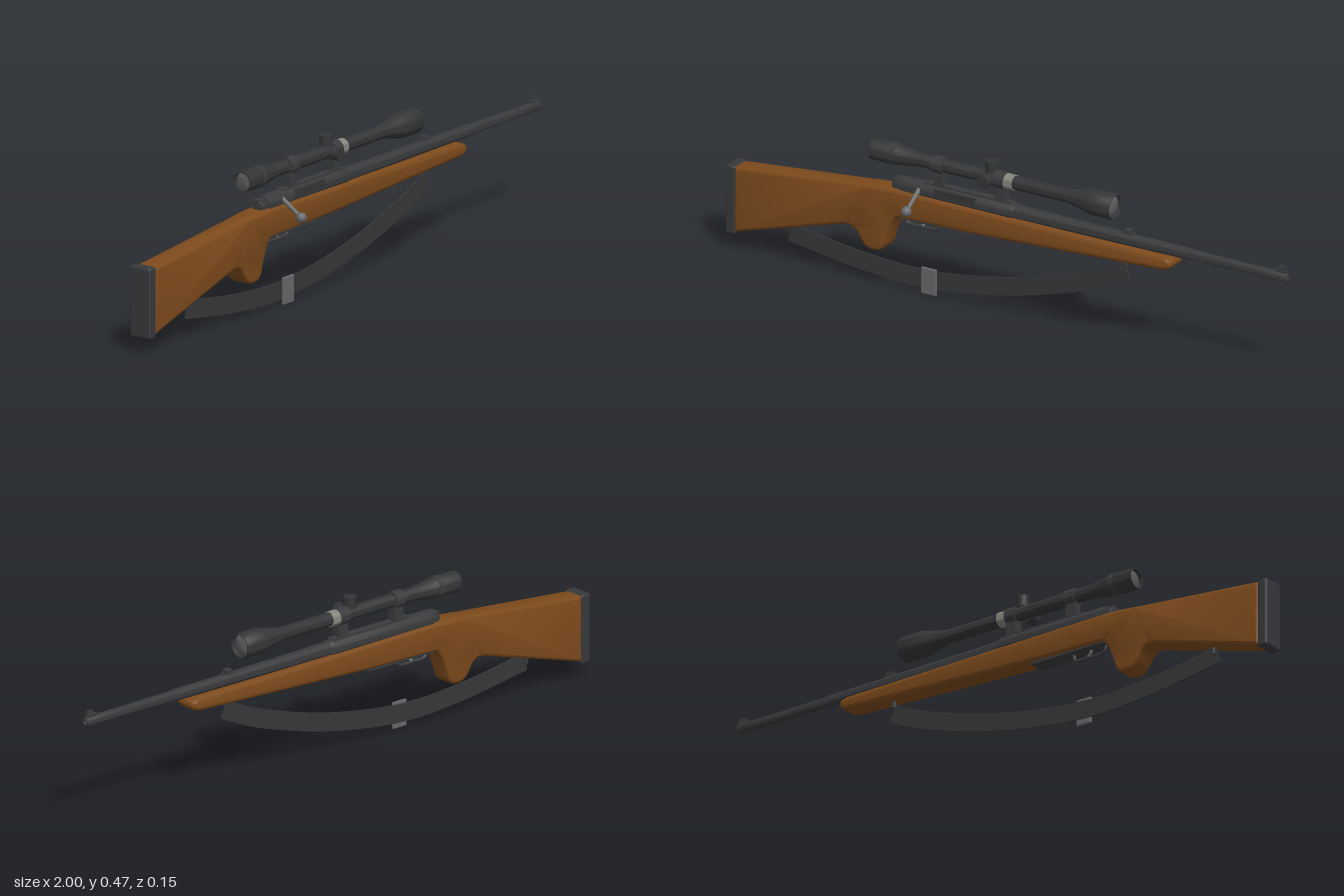
import * as THREE from 'three';
import { toCreasedNormals } from 'three/addons/utils/BufferGeometryUtils.js';
import { RoundedBoxGeometry } from 'three/addons/geometries/RoundedBoxGeometry.js';

const Z = -0.034; // centre plane of the rifle
const BORE = 0.331; // height of the barrel axis
const SIGHT = 0.424; // height of the scope axis

const paint = (name, color) => {
  const m = new THREE.MeshStandardMaterial({ color });
  m.name = name;
  return m;
};

export function createModel() {
  const wood = paint('walnut', 0x7d4a1c);
  const steel = paint('blued steel', 0x3a3b3d);
  const black = paint('scope black', 0x343536);
  const web = paint('sling webbing', 0x363738);
  const bright = paint('bright steel', 0x66676a);
  const pale = paint('pale ring', 0x85867e);
  const glass = paint('lens', 0x5c5d60);
  const rubber = paint('rubber', 0x37383b);

  const root = new THREE.Group();
  root.name = 'rifle';
  const add = (name, geo, mat, x = 0, y = 0, z = Z) => {
    const mesh = new THREE.Mesh(geo, mat);
    mesh.name = name;
    mesh.position.set(x, y, z);
    root.add(mesh);
    return mesh;
  };
  const box = (name, mat, x0, x1, y0, y1, w, z = Z) =>
    add(name, new THREE.BoxGeometry(x1 - x0, y1 - y0, w), mat, (x0 + x1) / 2, (y0 + y1) / 2, z);
  // Turned part along x from [x, radius] pairs
  const turned = (name, mat, y, pairs) => {
    const pts = pairs.map(([x, r]) => new THREE.Vector2(r, x));
    const geo = toCreasedNormals(new THREE.LatheGeometry(pts, 32), 0.6);
    geo.rotateZ(-Math.PI / 2); // y axis becomes +x
    return add(name, geo, mat, 0, y);
  };
  // Bevelled plate of a side profile, centred on its own z
  const plate = (name, mat, shape, depth, bevel, z = Z) => {
    const geo = new THREE.ExtrudeGeometry(shape, {
      depth: depth - 2 * bevel, bevelEnabled: bevel > 0, bevelThickness: bevel,
      bevelSize: bevel, bevelOffset: -bevel, bevelSegments: 4, curveSegments: 10,
    });
    geo.translate(0, 0, bevel - depth / 2);
    return add(name, toCreasedNormals(geo, 0.6), mat, 0, 0, z);
  };

  // Stock with pistol grip and fore-end
  const s = new THREE.Shape();
  s.moveTo(-0.968, 0.27);
  s.lineTo(-0.968, 0.06);
  s.lineTo(-0.575, 0.172);
  s.quadraticCurveTo(-0.54, 0.178, -0.525, 0.15);
  s.quadraticCurveTo(-0.505, 0.11, -0.475, 0.11);
  s.quadraticCurveTo(-0.44, 0.108, -0.43, 0.14);
  s.quadraticCurveTo(-0.41, 0.215, -0.385, 0.235);
  s.lineTo(-0.1, 0.24);
  s.lineTo(0.56, 0.271);
  s.quadraticCurveTo(0.595, 0.276, 0.595, 0.293);
  s.quadraticCurveTo(0.594, 0.31, 0.565, 0.312);
  s.lineTo(-0.38, 0.322);
  s.quadraticCurveTo(-0.45, 0.322, -0.52, 0.312);
  s.closePath();
  plate('stock', wood, s, 0.074, 0.012);
  add('buttPad', new RoundedBoxGeometry(0.035, 0.222, 0.076, 3, 0.008), rubber, -0.982, 0.163);

  // Barrel with stepped profile and open muzzle
  turned('barrel', steel, BORE, [
    [0, 0], [0, 0.024], [0.1, 0.022], [0.42, 0.0195], [0.65, 0.018], [0.65, 0.0165],
    [0.885, 0.0145], [0.885, 0.0155], [0.99, 0.015], [0.996, 0.012], [0.996, 0.007],
    [0.96, 0.007], [0.96, 0],
  ]);
  // Receiver, bolt shroud and ejection port
  turned('receiver', steel, BORE, [
    [-0.385, 0], [-0.385, 0.026], [-0.375, 0.028], [0.01, 0.028], [0.025, 0.024], [0.025, 0],
  ]);
  turned('boltShroud', steel, BORE, [
    [-0.412, 0], [-0.412, 0.018], [-0.405, 0.022], [-0.38, 0.022], [-0.38, 0],
  ]);
  box('receiverTang', steel, -0.41, -0.36, 0.315, 0.351, 0.036);
  box('ejectionPort', black, -0.255, -0.11, 0.327, 0.352, 0.01, -0.011);
  box('sightRail', steel, -0.3, 0.01, 0.352, 0.361, 0.026);

  // Bolt handle and knob
  const a = new THREE.Vector3(-0.313, 0.342, -0.02), b = new THREE.Vector3(-0.313, 0.289, 0.058);
  const arm = add('boltHandle', new THREE.CylinderGeometry(0.006, 0.008, a.distanceTo(b), 14), bright);
  arm.position.copy(a).lerp(b, 0.5);
  arm.quaternion.setFromUnitVectors(new THREE.Vector3(0, 1, 0), b.clone().sub(a).normalize());
  add('boltKnob', new THREE.SphereGeometry(0.0165, 20, 14), bright, b.x, b.y, b.z);

  // Iron sights
  box('rearSightBase', steel, 0.405, 0.445, 0.344, 0.353, 0.016);
  box('rearSightLeaf', steel, 0.415, 0.437, 0.35, 0.363, 0.022);
  box('frontSightRamp', steel, 0.955, 0.992, 0.34, 0.353, 0.014);
  box('frontSightBlade', steel, 0.967, 0.99, 0.35, 0.364, 0.008);

  // Trigger, guard and magazine floor plate
  box('floorPlate', steel, -0.385, -0.115, 0.231, 0.243, 0.054);
  const guard = new THREE.CatmullRomCurve3([
    [-0.375, 0.24], [-0.372, 0.218], [-0.355, 0.209], [-0.275, 0.209], [-0.258, 0.216], [-0.256, 0.24],
  ].map(([x, y]) => new THREE.Vector3(x, y, 0)), false, 'catmullrom', 0.3);
  add('triggerGuard', new THREE.TubeGeometry(guard, 30, 0.0055, 8), steel);
  const trig = new THREE.QuadraticBezierCurve3(
    new THREE.Vector3(-0.32, 0.245, 0), new THREE.Vector3(-0.325, 0.225, 0), new THREE.Vector3(-0.308, 0.213, 0));
  add('trigger', new THREE.TubeGeometry(trig, 10, 0.005, 8), bright);

  // Telescopic sight
  turned('scopeBody', black, SIGHT, [
    [-0.475, 0], [-0.475, 0.028], [-0.489, 0.029], [-0.489, 0.033], [-0.4, 0.033], [-0.395, 0.031],
    [-0.32, 0.021], [0.215, 0.021], [0.285, 0.037], [0.295, 0.04], [0.372, 0.04], [0.377, 0.038],
    [0.377, 0.035], [0.362, 0.034], [0.362, 0],
  ]);
  turned('objectiveLens', glass, SIGHT, [[0.363, 0.035], [0.369, 0.026], [0.373, 0.013], [0.375, 0]]);
  turned('eyepieceLens', glass, SIGHT, [[-0.482, 0], [-0.48, 0.015], [-0.476, 0.028]]);
  turned('eyepieceRing', steel, SIGHT, [[-0.42, 0.033], [-0.42, 0.0345], [-0.403, 0.0345], [-0.403, 0.033]]);
  turned('powerRing', pale, SIGHT, [[-0.013, 0.02], [-0.013, 0.024], [0.018, 0.024], [0.018, 0.02]]);
  for (const x of [-0.251, -0.03]) {
    turned('scopeRing', steel, SIGHT, [
      [x - 0.018, 0.02], [x - 0.018, 0.027], [x + 0.018, 0.027], [x + 0.018, 0.02],
    ]);
    box('scopeMount', steel, x - 0.018, x + 0.018, 0.352, 0.404, 0.028);
  }
  // Adjustment turrets, one on top and one on the side
  const turret = new THREE.CylinderGeometry(0.02, 0.02, 0.036, 24);
  const neck = new THREE.CylinderGeometry(0.015, 0.015, 0.03, 20);
  add('topTurret', turret, black, -0.066, 0.46);
  add('topTurretNeck', neck, black, -0.066, 0.436);
  add('sideTurret', turret, black, -0.066, SIGHT, 0.003).rotation.x = Math.PI / 2;
  add('sideTurretNeck', neck, black, -0.066, SIGHT, -0.022).rotation.x = Math.PI / 2;

  // Sling: a flat band swept along a hanging curve
  const hang = new THREE.SplineCurve([
    [-0.783, 0.095], [-0.527, 0.059], [-0.28, 0.05], [0.008, 0.091], [0.275, 0.166], [0.428, 0.232],
  ].map((p) => new THREE.Vector2(...p)));
  const upper = [], lower = [];
  for (let i = 0; i <= 40; i++) {
    const p = hang.getPoint(i / 40), t = hang.getTangent(i / 40);
    const n = new THREE.Vector2(-t.y, t.x).multiplyScalar(0.029);
    upper.push(p.clone().add(n));
    lower.unshift(p.clone().sub(n));
  }
  plate('sling', web, new THREE.Shape([...upper, ...lower]), 0.005, 0, -0.022);
  add('slingBuckle', new RoundedBoxGeometry(0.054, 0.085, 0.009, 2, 0.003), bright, -0.28, 0.046, -0.0165);
  // Sling studs under the stock
  for (const [x, y] of [[-0.775, 0.108], [0.415, 0.258]]) {
    add('slingStud', new THREE.CylinderGeometry(0.006, 0.006, 0.03, 12), steel, x, y);
  }
  return root;
}
